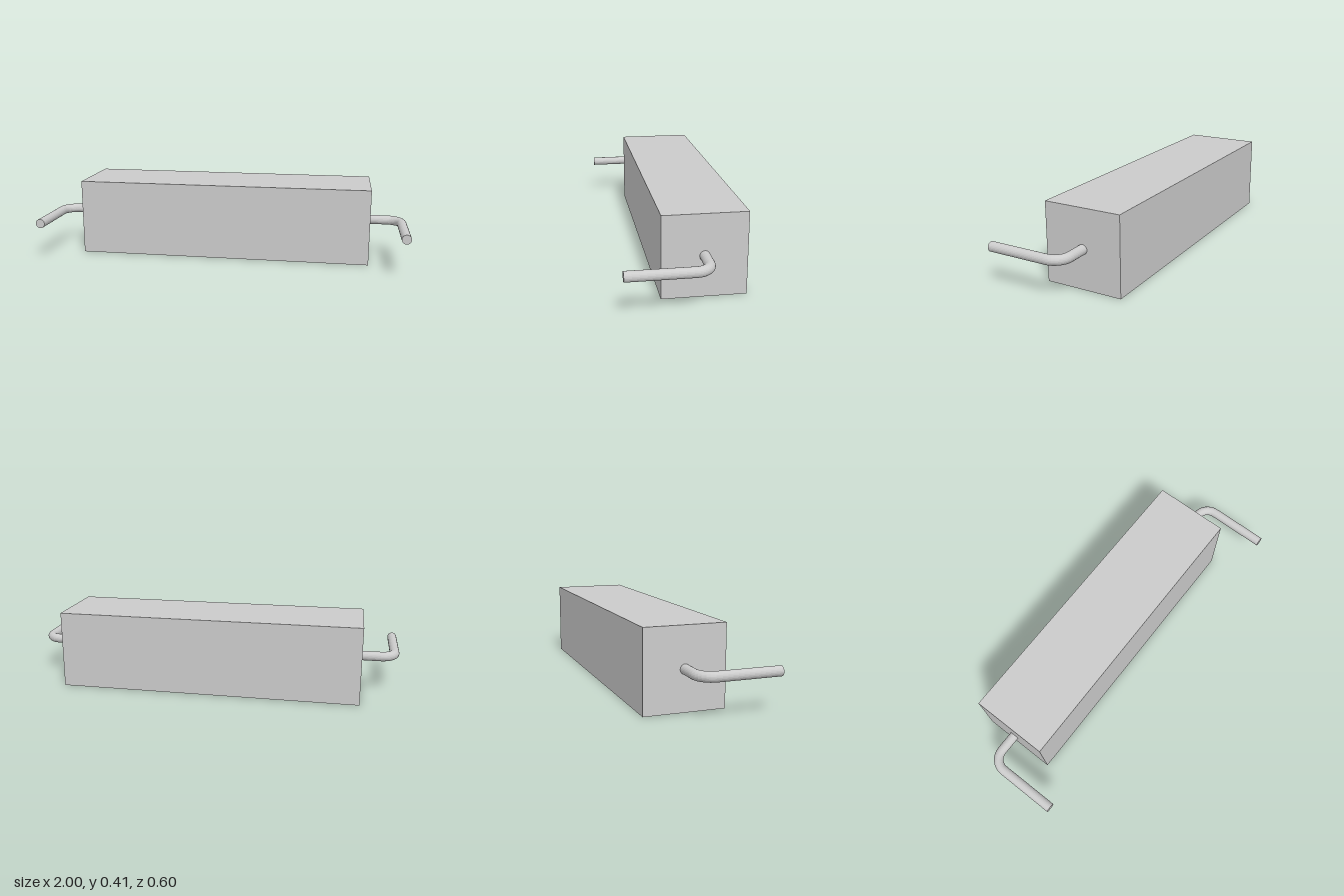
import * as THREE from 'three';

export function createModel() {
  const model = new THREE.Group();
  const bodyMat = new THREE.MeshStandardMaterial({ color: 0xcccccc });
  const wireMat = new THREE.MeshStandardMaterial({ color: 0xcccccc, flatShading: true });

  const half = 0.8, size = 0.41, midY = 0.205, midZ = -0.095;
  const r = 0.025, bend = 0.075, sides = 24;
  const wireX = 0.975, wireEnd = 0.3;

  const add = (parent, name, geometry, material, x, y, z) => {
    const mesh = new THREE.Mesh(geometry, material);
    mesh.name = name;
    mesh.position.set(x, y, z);
    parent.add(mesh);
  };

  // Square block body
  add(model, 'body', new THREE.BoxGeometry(half * 2, size, size), bodyMat, 0, midY, midZ);

  // Bent wire lead at each end: stub out of the body, quarter bend, straight leg
  for (const side of [1, -1]) {
    const lead = new THREE.Group();
    lead.name = side > 0 ? 'leftLead' : 'rightLead';
    const bendX = wireX - bend, bendZ = midZ + bend;

    const stub = new THREE.CylinderGeometry(r, r, bendX - half, sides, 1, true).rotateZ(Math.PI / 2);
    add(lead, 'stub', stub, wireMat, side * (half + bendX) / 2, midY, midZ);

    const elbow = new THREE.TorusGeometry(bend, r, sides, 8, Math.PI / 2).rotateX(-Math.PI / 2);
    if (side < 0) elbow.rotateY(Math.PI / 2);
    add(lead, 'elbow', elbow, wireMat, side * bendX, midY, bendZ);

    const leg = new THREE.CylinderGeometry(r, r, wireEnd - bendZ, sides).rotateX(Math.PI / 2);
    add(lead, 'leg', leg, wireMat, side * wireX, midY, (wireEnd + bendZ) / 2);
    model.add(lead);
  }
  return model;
}
